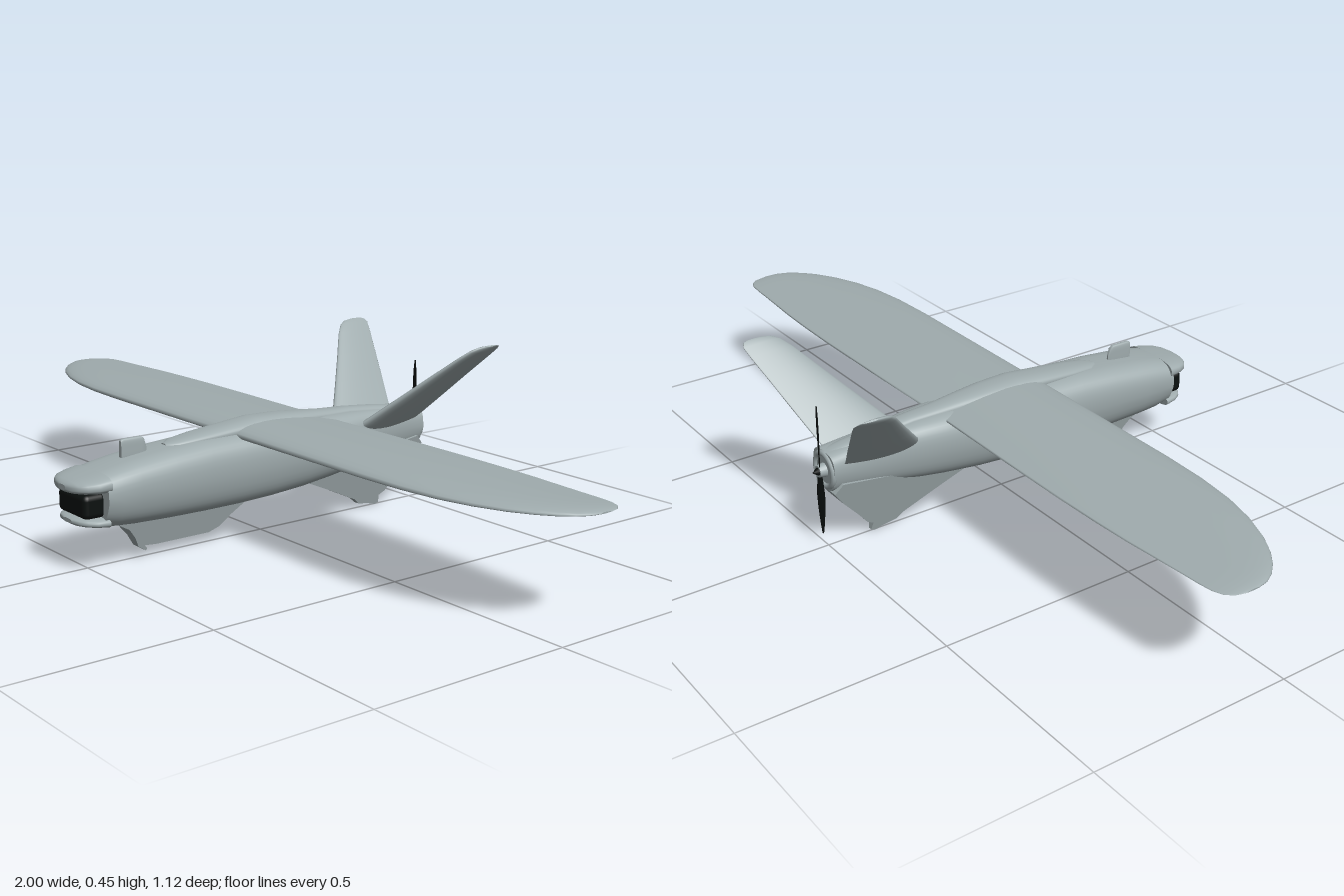
import * as THREE from 'three';
import { toCreasedNormals } from 'three/addons/utils/BufferGeometryUtils.js';
import { RoundedBoxGeometry } from 'three/addons/geometries/RoundedBoxGeometry.js';

const V = (x, y, z) => new THREE.Vector3(x, y, z);

// Skin a list of closed rings and cap both ends; winding is fixed by signed volume.
function loft(rings) {
  const n = rings[0].length, pos = [], idx = [];
  const add = p => pos.push(p.x, p.y, p.z) / 3 - 1;
  rings.forEach(r => r.forEach(add));
  for (let i = 0; i < rings.length - 1; i++) {
    for (let j = 0; j < n; j++) {
      const a = i * n + j, b = i * n + (j + 1) % n;
      idx.push(a, b, a + n, b, b + n, a + n);
    }
  }
  [rings[0], rings[rings.length - 1]].forEach((r, end) => {
    const c = add(r.reduce((s, p) => s.add(p), V(0, 0, 0)).divideScalar(n));
    const s = r.map(add);
    s.forEach((a, j) => {
      const b = s[(j + 1) % n];
      if (end) idx.push(c, a, b); else idx.push(c, b, a);
    });
  });
  const at = i => V(pos[3 * i], pos[3 * i + 1], pos[3 * i + 2]);
  let volume = 0;
  for (let i = 0; i < idx.length; i += 3) volume += at(idx[i]).dot(at(idx[i + 1]).cross(at(idx[i + 2])));
  if (volume < 0) idx.reverse();
  const g = new THREE.BufferGeometry();
  g.setAttribute('position', new THREE.Float32BufferAttribute(pos, 3));
  g.setIndex(idx);
  g.computeVertexNormals();
  return g;
}

// Rounded-box sections along z: [z, half width, bottom, top]
function hull(stations, power = 3.2, pinch = 0) {
  return loft(stations.map(([z, w, lo, hi]) => Array.from({ length: 40 }, (_, i) => {
    const a = i / 40 * Math.PI * 2, c = Math.cos(a), s = Math.sin(a);
    const e = 2 / power, u = Math.sign(s) * Math.abs(s) ** e;
    const x = Math.sign(c) * Math.abs(c) ** e * w * (1 - pinch * Math.max(0, -u));
    return V(x, (lo + hi) / 2 + u * (hi - lo) / 2, z);
  })));
}

// Airfoil ring between a leading and a trailing point
function airfoil(lead, trail, up, over, under) {
  const N = 14;
  return Array.from({ length: 2 * N }, (_, i) => {
    const u = (1 - Math.cos(Math.PI * i / N)) / 2;
    const f = 2.6 * Math.sqrt(u) * (1 - u) + 0.06;
    return lead.clone().lerp(trail, u).addScaledVector(up, i < N ? over * f : -under * f);
  });
}

// Blade-like fin drawn in the z-y plane, thinning towards the ground
function keel(points) {
  const shape = new THREE.Shape(points.map(p => new THREE.Vector2(...p)));
  let g = new THREE.ExtrudeGeometry(shape, { depth: 2, bevelEnabled: false });
  g.translate(0, 0, -1).rotateY(-Math.PI / 2);
  const p = g.attributes.position;
  for (let i = 0; i < p.count; i++) p.setX(i, p.getX(i) * (0.004 + 0.26 * Math.max(0, p.getY(i))));
  return toCreasedNormals(g, 0.6);
}

export function createModel() {
  const model = new THREE.Group();
  const grey = new THREE.MeshStandardMaterial({ color: 0xa0acae });
  grey.name = 'pale grey';
  const black = new THREE.MeshStandardMaterial({ color: 0x0b100f });
  black.name = 'black';
  const part = (name, geometry, material = grey) => {
    const m = new THREE.Mesh(geometry, material);
    m.name = name;
    model.add(m);
    return m;
  };

  // Fuselage
  part('fuselage', hull([
    [0.49, 0.086, 0.108, 0.233], [0.45, 0.089, 0.1, 0.242], [0.4, 0.09, 0.096, 0.25],
    [0.3, 0.09, 0.092, 0.261], [0.2, 0.088, 0.09, 0.268], [0.1, 0.087, 0.09, 0.27],
    [0, 0.086, 0.093, 0.272], [-0.1, 0.084, 0.1, 0.272], [-0.2, 0.077, 0.111, 0.272],
    [-0.26, 0.069, 0.119, 0.27], [-0.32, 0.058, 0.128, 0.266], [-0.38, 0.051, 0.136, 0.262],
    [-0.44, 0.049, 0.146, 0.258], [-0.5, 0.049, 0.155, 0.252],
  ], 3.4, 0.22));

  // Open nose with two lips around the camera
  part('upperLip', hull([
    [0.48, 0.087, 0.188, 0.235], [0.51, 0.084, 0.19, 0.23], [0.535, 0.073, 0.192, 0.226],
    [0.55, 0.056, 0.194, 0.222], [0.558, 0.038, 0.196, 0.218], [0.562, 0.015, 0.2, 0.213],
  ], 2.8));
  part('lowerLip', hull([
    [0.48, 0.077, 0.107, 0.136], [0.51, 0.073, 0.111, 0.136], [0.53, 0.062, 0.114, 0.136],
    [0.543, 0.045, 0.117, 0.134], [0.55, 0.018, 0.121, 0.131],
  ], 2.8));
  part('noseCamera', new RoundedBoxGeometry(0.122, 0.058, 0.06, 3, 0.014), black).position.set(0, 0.163, 0.51);

  // Raised spine and tail deck
  part('spine', hull([
    [0.285, 0.012, 0.25, 0.265], [0.26, 0.03, 0.25, 0.271], [0.2, 0.038, 0.25, 0.279],
    [0.12, 0.042, 0.25, 0.287], [0.03, 0.045, 0.25, 0.296], [-0.05, 0.043, 0.25, 0.294],
    [-0.13, 0.036, 0.25, 0.288], [-0.2, 0.029, 0.25, 0.282], [-0.27, 0.025, 0.25, 0.279],
    [-0.36, 0.024, 0.24, 0.271], [-0.45, 0.024, 0.235, 0.26], [-0.49, 0.022, 0.235, 0.253],
  ], 2.4));
  part('antenna', hull([
    [0.405, 0.005, 0.24, 0.29], [0.398, 0.007, 0.24, 0.293], [0.35, 0.007, 0.24, 0.293],
    [0.342, 0.006, 0.24, 0.288], [0.335, 0.003, 0.24, 0.268],
  ], 4));

  // Wing: [x, leading z, trailing z, thickness factor]
  const half = [
    [0.06, 0.106, -0.2, 1], [0.3, 0.106, -0.203, 0.95], [0.5, 0.106, -0.204, 0.9],
    [0.62, 0.102, -0.202, 0.82], [0.72, 0.09, -0.198, 0.74], [0.8, 0.07, -0.192, 0.66],
    [0.87, 0.042, -0.187, 0.58], [0.92, 0.013, -0.184, 0.5], [0.955, -0.015, -0.18, 0.42],
    [0.98, -0.043, -0.17, 0.32], [0.994, -0.068, -0.152, 0.2], [1, -0.095, -0.13, 0.1],
  ];
  const span = [...half.map(([x, ...r]) => [-x, ...r]).reverse(), ...half];
  part('wing', loft(span.map(([x, l, t, k]) =>
    airfoil(V(x, 0.262, l), V(x, 0.262, t), V(0, 1, 0), 0.024 * k, 0.009 * k))));

  // V-tail: [x, y, leading z, trailing z, half thickness]
  const tail = [
    [0.04, 0.225, -0.265, -0.47, 0.013], [0.065, 0.248, -0.285, -0.48, 0.013],
    [0.12, 0.304, -0.338, -0.505, 0.011], [0.18, 0.365, -0.395, -0.531, 0.009],
    [0.23, 0.415, -0.441, -0.553, 0.007], [0.249, 0.434, -0.463, -0.56, 0.006],
    [0.258, 0.442, -0.482, -0.556, 0.004], [0.261, 0.445, -0.505, -0.545, 0.002],
  ];
  for (const s of [1, -1]) {
    const up = V(-s, 1, 0).normalize();
    part(s > 0 ? 'leftTailFin' : 'rightTailFin', loft(tail.map(([x, y, l, t, h]) =>
      airfoil(V(s * x, y, l), V(s * x, y, t), up, h, h))));
  }

  // Belly skid and rear fin
  part('bellySkid', keel([
    [0.45, 0.115], [0.425, 0.094], [0.4, 0.08], [0.38, 0.055], [0.368, 0.03], [0.345, 0.015],
    [0.342, 0.02], [0.35, 0.03], [0.32, 0.027], [0.165, 0.027], [0.135, 0.038], [0.105, 0.065],
    [0.07, 0.09], [0.03, 0.115],
  ]));
  part('rearFin', keel([
    [-0.1, 0.12], [-0.14, 0.1], [-0.22, 0.065], [-0.3, 0.028], [-0.315, 0.014], [-0.35, 0.008],
    [-0.375, 0.001], [-0.386, 0.006], [-0.382, 0.026], [-0.4, 0.036], [-0.43, 0.072],
    [-0.475, 0.122], [-0.5, 0.157], [-0.48, 0.18],
  ]));

  // Motor and two-blade propeller
  part('motorRing', new THREE.TorusGeometry(0.041, 0.008, 10, 32)).position.set(0, 0.204, -0.498);
  const motor = part('motor', new THREE.CylinderGeometry(0.014, 0.018, 0.02, 20));
  motor.rotation.x = -Math.PI / 2;
  motor.position.set(0, 0.204, -0.507);
  const spinner = part('spinner', new THREE.ConeGeometry(0.013, 0.02, 20), black);
  spinner.rotation.x = -Math.PI / 2;
  spinner.position.set(0, 0.204, -0.522);
  const chord = [[0, 0.005], [0.025, 0.008], [0.06, 0.012], [0.1, 0.011], [0.14, 0.007], [0.166, 0.002]];
  for (const s of [1, -1]) {
    part(s > 0 ? 'upperBlade' : 'lowerBlade', loft(chord.map(([r, w]) => {
      const twist = 0.5 - 2 * r, c = Math.cos(twist) * w, d = Math.sin(twist) * w;
      return airfoil(V(-s * c, 0.204 + s * r, -0.512 - d), V(s * c, 0.204 + s * r, -0.512 + d), V(0, 0, 1), 0.0015, 0.0015);
    })), black);
  }
  return model;
}
